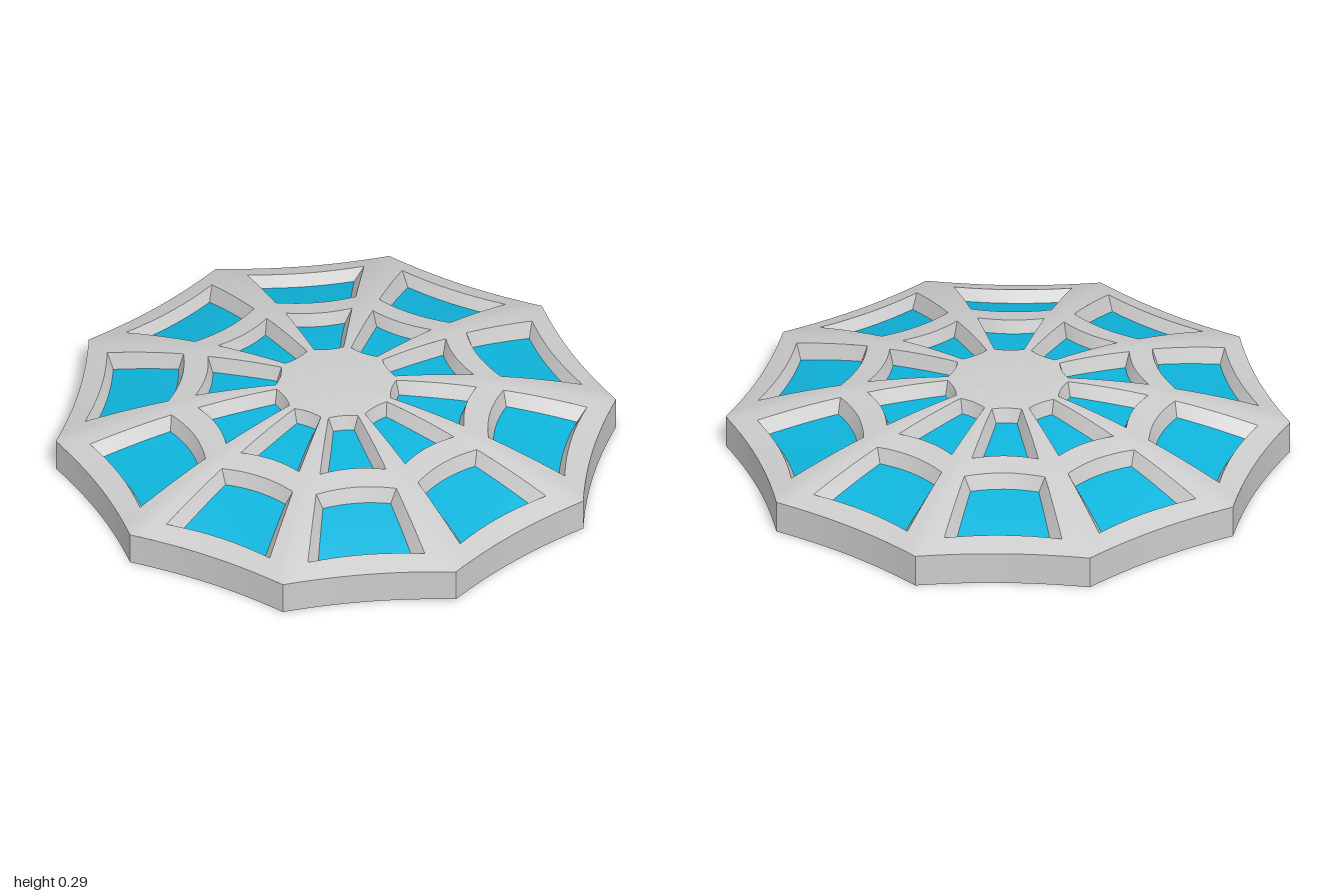
import * as THREE from 'three';
import { toCreasedNormals } from 'three/addons/utils/BufferGeometryUtils.js';

const SIDES = 10;
const STEP = (2 * Math.PI) / SIDES;
const TAN = Math.tan(STEP / 2);
const RIM_Y = 0.12, RISE = 0.175, DEPTH = 0.05;

// A web row crosses one sector: q runs from rib (-1) to rib (+1), and the
// row bows towards the hub. qw is where the window sides meet the row.
const row = (mid, bow, qw) => ({ mid, bow, qw });
const HUB = row(0, 0, 0.79), RIM = row(0.927, 0.024, 0.74);
const WINDOWS = [
  { name: 'innerPane', inner: row(0.2, 0.011, 0.79), outer: row(0.468, 0.03, 0.75),
    floorInner: row(0.217, 0.011, 0.52), floorOuter: row(0.451, 0.03, 0.6) },
  { name: 'outerPane', inner: row(0.556, 0.036, 0.763), outer: row(0.847, 0.033, 0.743),
    floorInner: row(0.577, 0.036, 0.63), floorOuter: row(0.823, 0.033, 0.625) },
];

const mix = THREE.MathUtils.lerp;
const mixRow = (a, b, t) => row(mix(a.mid, b.mid, t), mix(a.bow, b.bow, t), mix(a.qw, b.qw, t));

// Point on the dome, lowered by drop
function dome(r, q, drop = 0) {
  const z = r.mid + r.bow * q * q;
  const f = z / (RIM.mid + RIM.bow * q * q);
  return new THREE.Vector3(q * TAN * z, RIM_Y + RISE * (1 - f * f) - drop, z);
}

// Point on the closed edge of a window, t from 0 to 4
function windowEdge(inner, outer, t, drop) {
  const k = Math.min(3, Math.floor(t)), u = t - k;
  if (k === 0) return dome(inner, mix(-inner.qw, inner.qw, u), drop);
  if (k === 2) return dome(outer, mix(outer.qw, -outer.qw, u), drop);
  const r = mixRow(inner, outer, k === 1 ? u : 1 - u);
  return dome(r, k === 1 ? r.qw : -r.qw, drop);
}

// Triangulates fn(s, t) over the unit square into a list of corners
function patch(out, fn, ns, nt) {
  const add = (a, b, c) => {
    if (new THREE.Triangle(a, b, c).getArea() > 1e-8) out.push(a, b, c);
  };
  for (let i = 0; i < ns; i++) {
    for (let j = 0; j < nt; j++) {
      const a = fn(i / ns, j / nt), b = fn((i + 1) / ns, j / nt);
      const c = fn((i + 1) / ns, (j + 1) / nt), d = fn(i / ns, (j + 1) / nt);
      add(a, b, c);
      add(a, c, d);
    }
  }
}

const toGeometry = (points) =>
  toCreasedNormals(new THREE.BufferGeometry().setFromPoints(points), 0.35);

function buildSector() {
  const pts = [];
  // Dome bands between rows: two rib strips, plus a bridge where no window is
  const rows = [HUB, ...WINDOWS.flatMap((w) => [w.inner, w.outer]), RIM];
  for (let k = 0; k < rows.length - 1; k++) {
    const band = (s) => mixRow(rows[k], rows[k + 1], s);
    patch(pts, (s, t) => { const r = band(s); return dome(r, mix(-1, -r.qw, t)); }, 5, 2);
    patch(pts, (s, t) => { const r = band(s); return dome(r, mix(r.qw, 1, t)); }, 5, 2);
    if (k % 2 === 0) {
      patch(pts, (s, t) => { const r = band(s); return dome(r, mix(-r.qw, r.qw, t)); }, 5, 8);
    }
  }
  // Sloping walls of the window recesses
  for (const w of WINDOWS) {
    patch(pts, (s, t) => windowEdge(w.inner, w.outer, t * 4, 0)
      .lerp(windowEdge(w.floorInner, w.floorOuter, t * 4, DEPTH), s), 1, 32);
  }
  // Rim wall and flat underside
  const rimQ = (t) => mix(-1, 1, t);
  patch(pts, (s, t) => dome(RIM, rimQ(t)).setY(RIM_Y * (1 - s)), 1, 12);
  patch(pts, (s, t) => dome(RIM, rimQ(t)).setY(0).multiplyScalar(1 - s), 1, 12);
  return pts;
}

export function createModel() {
  const group = new THREE.Group();
  group.name = 'webbedDome';
  const grey = new THREE.MeshStandardMaterial({ color: 0xcccccc });
  const blue = new THREE.MeshStandardMaterial({ color: 0x0fb4dc });
  const up = new THREE.Vector3(0, 1, 0);

  // Frame: the sector repeated round the hub
  const sector = buildSector();
  const all = [];
  for (let i = 0; i < SIDES; i++) {
    for (const p of sector) all.push(p.clone().applyAxisAngle(up, i * STEP));
  }
  const frame = new THREE.Mesh(toGeometry(all), grey);
  frame.name = 'webFrame';
  group.add(frame);

  // Coloured panes at the bottom of the recesses
  for (const w of WINDOWS) {
    const pts = [];
    patch(pts, (s, t) => {
      const r = mixRow(w.floorInner, w.floorOuter, s);
      return dome(r, mix(-r.qw, r.qw, t), DEPTH);
    }, 8, 8);
    const geometry = toGeometry(pts);
    for (let i = 0; i < SIDES; i++) {
      const pane = new THREE.Mesh(geometry, blue);
      pane.name = w.name;
      pane.rotation.y = i * STEP;
      group.add(pane);
    }
  }
  return group;
}
